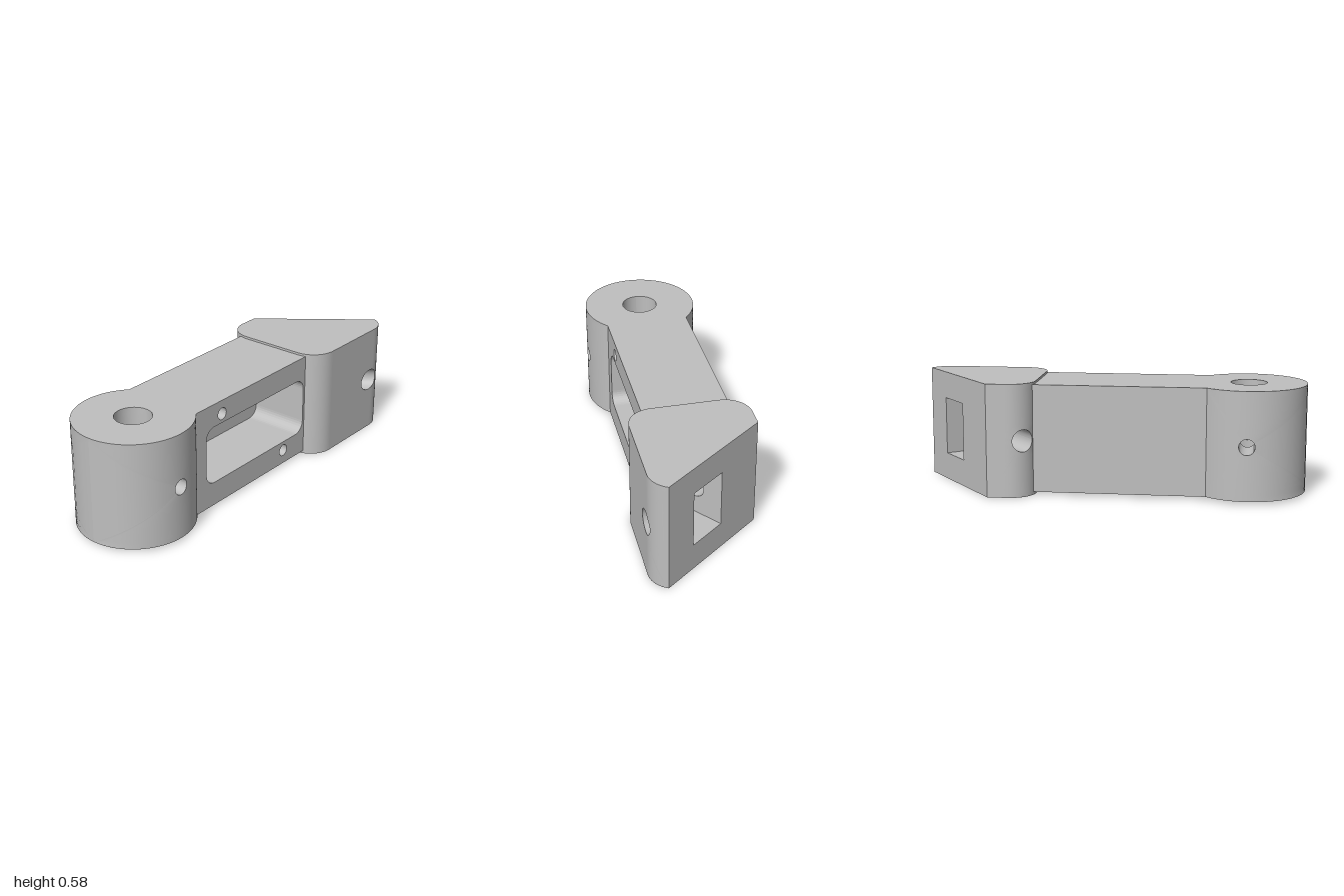
import * as THREE from 'three';

const TAU = Math.PI * 2;
const gray = new THREE.MeshStandardMaterial({ color: 0xbfbfbf, side: THREE.DoubleSide });
gray.name = 'plain gray';

// Points are [x, z] in plan.
const arc = (cx, cz, r, a0, a1, n = 24) => Array.from({ length: n + 1 }, (_, i) => {
  const a = a0 + (a1 - a0) * i / n;
  return [cx + r * Math.cos(a), cz + r * Math.sin(a)];
});

// Smooth surface from a grid of 3D points.
function grid(rows) {
  const n = rows[0].length, index = [];
  for (let i = 0; i + 1 < rows.length; i++) {
    for (let j = 0; j + 1 < n; j++) {
      const a = i * n + j;
      index.push(a, a + 1, a + n, a + 1, a + n + 1, a + n);
    }
  }
  const g = new THREE.BufferGeometry();
  g.setAttribute('position', new THREE.Float32BufferAttribute(rows.flat(2), 3));
  g.setIndex(index);
  g.computeVertexNormals();
  return g;
}

// Upright wall along a plan path.
const wall = (pts, y0, y1) => grid([y0, y1].map(y => pts.map(([x, z]) => [x, y, z])));

// Flat horizontal face from a plan outline.
function cap(pts, y, hole) {
  const s = new THREE.Shape(pts.map(p => new THREE.Vector2(...p)));
  if (hole) s.holes.push(new THREE.Path(hole.map(p => new THREE.Vector2(...p))));
  return new THREE.ShapeGeometry(s).rotateX(Math.PI / 2).translate(0, y, 0);
}

// Bent panel with a round opening: map(u, v) gives 3D, hole(angle) gives [u, v].
function panel(map, u0, u1, v0, v1, hole) {
  const n = 28, c = [[u0, v0], [u1, v0], [u1, v1], [u0, v1], [u0, v0]], rim = [];
  for (let k = 0; k < 4; k++) {
    for (let i = 0; i < n; i++) {
      rim.push([0, 1].map(d => c[k][d] + (c[k + 1][d] - c[k][d]) * i / n));
    }
  }
  rim.push(rim[0]);
  const uc = (hole(0)[0] + hole(Math.PI)[0]) / 2, vc = hole(0)[1];
  const rows = [];
  for (let m = 0; m <= 8; m++) {
    rows.push(rim.map(([u, v]) => {
      const h = hole(Math.atan2(v - vc, u - uc)), t = m / 8;
      return map(h[0] + (u - h[0]) * t, h[1] + (v - h[1]) * t);
    }));
  }
  return grid(rows);
}

// Bore surface between two rims.
const bore = (f0, f1) => grid([f0, f1].map(f =>
  Array.from({ length: 49 }, (_, i) => f(i / 48 * TAU))));

// Plan path measured by length, with line intersection.
function track(pts) {
  const len = [0];
  for (let i = 1; i < pts.length; i++) {
    len.push(len[i - 1] + Math.hypot(pts[i][0] - pts[i - 1][0], pts[i][1] - pts[i - 1][1]));
  }
  const map = (s, y) => {
    let i = 1;
    while (i < pts.length - 1 && len[i] < s) i++;
    const t = (s - len[i - 1]) / (len[i] - len[i - 1]), a = pts[i - 1], b = pts[i];
    return [a[0] + (b[0] - a[0]) * t, y, a[1] + (b[1] - a[1]) * t];
  };
  const hit = (p, d) => {
    const side = q => (q[0] - p[0]) * d[1] - (q[1] - p[1]) * d[0];
    for (let i = 1; i < pts.length; i++) {
      const a = side(pts[i - 1]), b = side(pts[i]);
      if (a * b <= 0 && a !== b) return len[i - 1] + (len[i] - len[i - 1]) * a / (a - b);
    }
    return 0;
  };
  return { map, hit, total: len[len.length - 1] };
}

export function createModel() {
  const model = new THREE.Group();
  const part = name => {
    const g = new THREE.Group();
    g.name = name;
    model.add(g);
    return (meshName, geo) => {
      const m = new THREE.Mesh(geo, gray);
      m.name = meshName;
      g.add(m);
    };
  };
  const yLow = 0.015, yHigh = 0.565, midY = 0.288;

  // Pivot ring with a vertical bore and a small cross hole
  const ring = part('pivotRing');
  const cx = -0.705, R = 0.295, Ri = 0.092, rPin = 0.04, halfBar = 0.215;
  const joinA = Math.asin(halfBar / R), joinX = cx + R * Math.cos(joinA);
  const ringOutline = arc(cx, 0, R, joinA, TAU - joinA, 96);
  for (const y of [yLow, yHigh]) ring('ringCap', cap(ringOutline, y, arc(cx, 0, Ri, 0, TAU, 64)));
  for (const side of [1, -1]) {
    const round = r => (u, v) => [cx + r * Math.sin(u / r), v, side * r * Math.cos(u / r)];
    const pin = r => a => [r * Math.asin(rPin * Math.cos(a) / r), midY + rPin * Math.sin(a)];
    const quarter = Math.PI / 2;
    ring('ringOuterWall', panel(round(R), -R * quarter, R * (quarter - joinA), yLow, yHigh, pin(R)));
    ring('ringBoreWall', panel(round(Ri), -Ri * quarter, Ri * quarter, yLow, yHigh, pin(Ri)));
    ring('crossHole', bore(a => round(R)(...pin(R)(a)), a => round(Ri)(...pin(Ri)(a))));
  }

  // Arm: pocketed front block on a solid back plate
  const arm = part('arm');
  const armEnd = 0.37, pocketBack = -0.095;
  const face = new THREE.Shape([[joinX, yLow], [armEnd, yLow], [armEnd, yHigh], [joinX, yHigh]]
    .map(p => new THREE.Vector2(...p)));
  const [px0, px1, py0, py1, pr] = [-0.43, 0.355, 0.14, 0.445, 0.06];
  const pocket = [
    ...arc(px1 - pr, py1 - pr, pr, 0, Math.PI / 2, 8),
    ...arc(px0 + pr, py1 - pr, pr, Math.PI / 2, Math.PI, 8),
    ...arc(px0 + pr, py0 + pr, pr, Math.PI, Math.PI * 1.5, 8),
    ...arc(px1 - pr, py0 + pr, pr, Math.PI * 1.5, TAU, 8)];
  face.holes.push(new THREE.Path(pocket.map(p => new THREE.Vector2(...p))));
  for (const [x, y] of [[-0.31, 0.493], [0.19, 0.09]]) {
    face.holes.push(new THREE.Path().absarc(x, y, 0.031, 0, TAU));
  }
  arm('armFrontBlock', new THREE.ExtrudeGeometry(face,
    { depth: halfBar - pocketBack, bevelEnabled: false, curveSegments: 24 }).translate(0, 0, pocketBack));
  arm('armBackPlate', new THREE.BoxGeometry(armEnd - joinX, yHigh - yLow, halfBar + pocketBack)
    .translate((armEnd + joinX) / 2, (yLow + yHigh) / 2, (pocketBack - halfBar) / 2));

  // Wedge head outline
  const head = part('wedgeHead');
  const H = 0.577, P = Math.PI;
  const backPts = [[0.59, -0.3], ...arc(0.49, -0.17, 0.13, -P / 2, -P), [0.36, 0]];
  const leftPts = [[0.36, 0], ...arc(0.49, 0.17, 0.13, P, P / 2)];
  const frontPts = [...arc(0.882, 0.17, 0.13, Math.asin(0.055 / 0.13), P / 2), [0.49, 0.3]];
  const outline = [...backPts, ...leftPts.slice(1), ...frontPts.slice(0, -1).reverse()];
  for (const y of [0, H]) head('headCap', cap(outline, y));
  head('headInnerWall', wall(leftPts, 0, H));

  // Slanted face with its rectangular window
  const start = backPts[0], tip = frontPts[0];
  const L = Math.hypot(tip[0] - start[0], tip[1] - start[1]);
  const d = [(tip[0] - start[0]) / L, (tip[1] - start[1]) / L], n = [d[1], -d[0]];
  const at = (s, depth) => [0, 1].map(i => start[i] + d[i] * s - n[i] * depth);
  const [s0, s1, y0, y1, deep] = [0.275, 0.484, 0.14, 0.438, 0.32];
  const rect = (a, b, c, e) => [[a, c], [b, c], [b, e], [a, e]].map(p => new THREE.Vector2(...p));
  const slant = new THREE.Shape(rect(0, L, 0, H));
  slant.holes.push(new THREE.Path(rect(s0, s1, y0, y1)));
  head('slantedFace', new THREE.ShapeGeometry(slant)
    .rotateY(Math.atan2(-d[1], d[0])).translate(start[0], 0, start[1]));

  // Socket behind the window
  const floor = [at(s0, deep), at(s1, deep)];
  head('socketBack', wall(floor, y0, y1));
  for (const y of [y0, y1]) head('socketCap', cap([at(s0, 0), at(s1, 0), floor[1], floor[0]], y));

  // Angled bolt hole running through the head and across the socket
  const rBolt = 0.057, boltDepth = 0.163;
  for (const [pts, s, name] of [[backPts, s0, 'back'], [frontPts, s1, 'front']]) {
    const skin = track(pts);
    const outer = a => [skin.hit(at(s, boltDepth + rBolt * Math.cos(a)), d), midY + rBolt * Math.sin(a)];
    const inner = a => [boltDepth + rBolt * Math.cos(a), midY + rBolt * Math.sin(a)];
    const side = (u, v) => { const p = at(s, u); return [p[0], v, p[1]]; };
    head(name + 'HeadWall', panel(skin.map, 0, skin.total, 0, H, outer));
    head(name + 'SocketWall', panel(side, 0, deep, y0, y1, inner));
    head(name + 'BoltHole', bore(a => skin.map(...outer(a)), a => side(...inner(a))));
  }
  return model;
}
